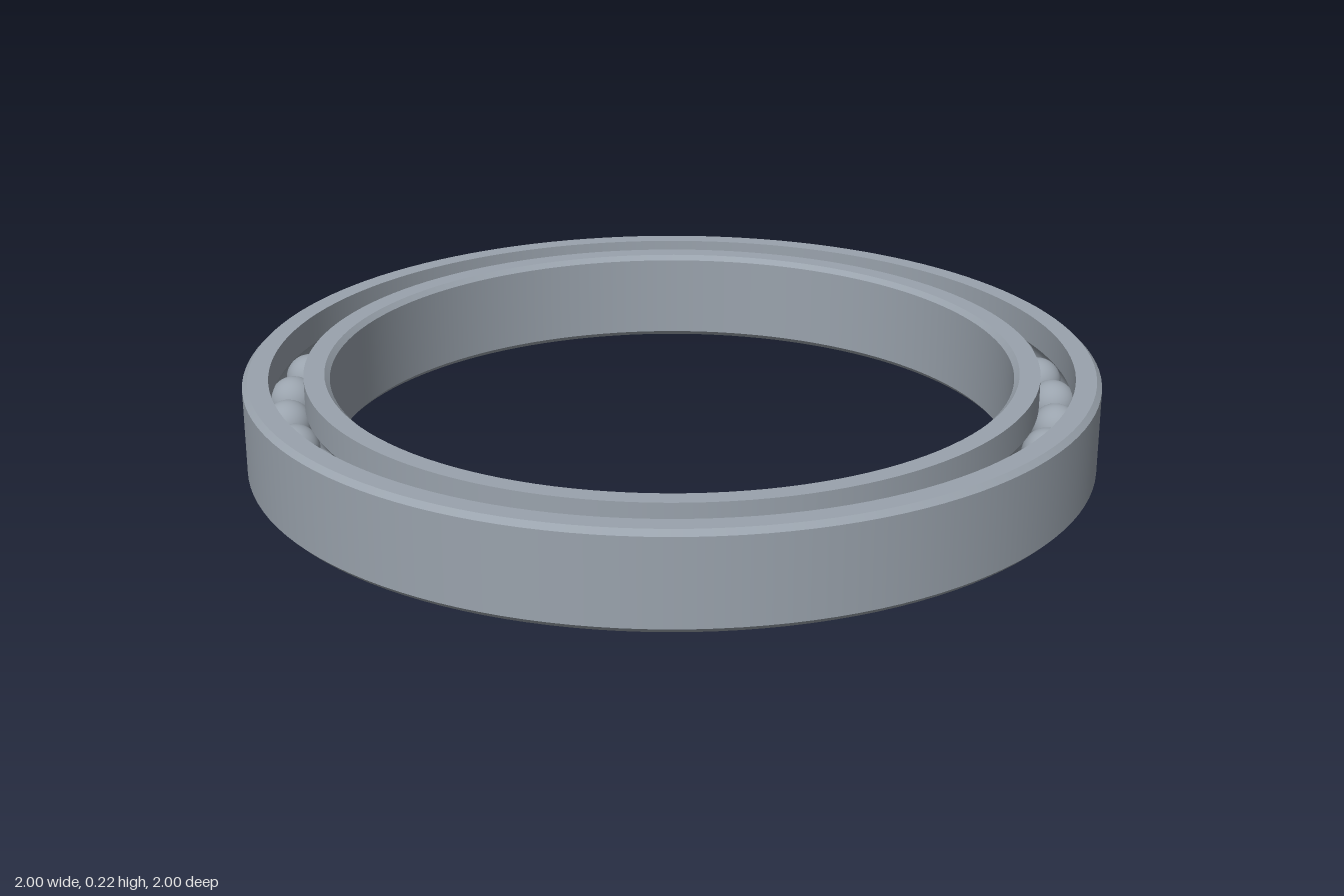
import * as THREE from 'three';
import { mergeGeometries } from 'three/addons/utils/BufferGeometryUtils.js';

const H = 0.225, MID = H / 2;      // ring height
const PITCH = 0.9;                 // radius of the ball circle
const GAP = 0.04;                  // pitch circle to ring shoulder
const BALL_R = 0.057, GROOVE_R = 0.058;
const CHAMFER = 0.012;
const BALLS = 36;

// Profile pieces of the outer ring; each piece is smooth, joints stay sharp
function ringProfile() {
  const rim = 0.1, a = Math.acos(GAP / GROOVE_R), g = GROOVE_R * Math.sin(a);
  const groove = [];
  for (let i = 0; i <= 12; i++) {
    const t = a - (2 * a * i) / 12;
    groove.push([GROOVE_R * Math.cos(t), MID + GROOVE_R * Math.sin(t)]);
  }
  return [
    [[rim, CHAMFER], [rim, H - CHAMFER]],
    [[rim, H - CHAMFER], [rim - CHAMFER, H]],
    [[rim - CHAMFER, H], [GAP, H]],
    [[GAP, H], [GAP, MID + g]],
    groove,
    [[GAP, MID - g], [GAP, 0]],
    [[GAP, 0], [rim - CHAMFER, 0]],
    [[rim - CHAMFER, 0], [rim, CHAMFER]],
  ];
}

// side = 1 builds the outer ring, side = -1 mirrors it about the pitch circle
function ring(name, side, material) {
  const pieces = ringProfile().map((piece) => {
    const pts = piece.map(([d, y]) => new THREE.Vector2(PITCH + side * d, y));
    if (side < 0) pts.reverse();
    return new THREE.LatheGeometry(pts, 128);
  });
  const mesh = new THREE.Mesh(mergeGeometries(pieces), material);
  mesh.name = name;
  return mesh;
}

export function createModel() {
  const steel = new THREE.MeshStandardMaterial({ color: 0x9aa3ad });
  steel.name = 'steel';

  const model = new THREE.Group();
  model.name = 'ballBearing';
  model.add(ring('outerRing', 1, steel), ring('innerRing', -1, steel));

  // Balls evenly spaced in the raceway
  const balls = new THREE.Group();
  balls.name = 'balls';
  const ballGeometry = new THREE.SphereGeometry(BALL_R, 32, 20);
  for (let i = 0; i < BALLS; i++) {
    const a = THREE.MathUtils.degToRad(2) + (i / BALLS) * Math.PI * 2;
    const ball = new THREE.Mesh(ballGeometry, steel);
    ball.name = 'ball';
    ball.position.set(PITCH * Math.cos(a), MID, PITCH * Math.sin(a));
    balls.add(ball);
  }
  model.add(balls);
  return model;
}
